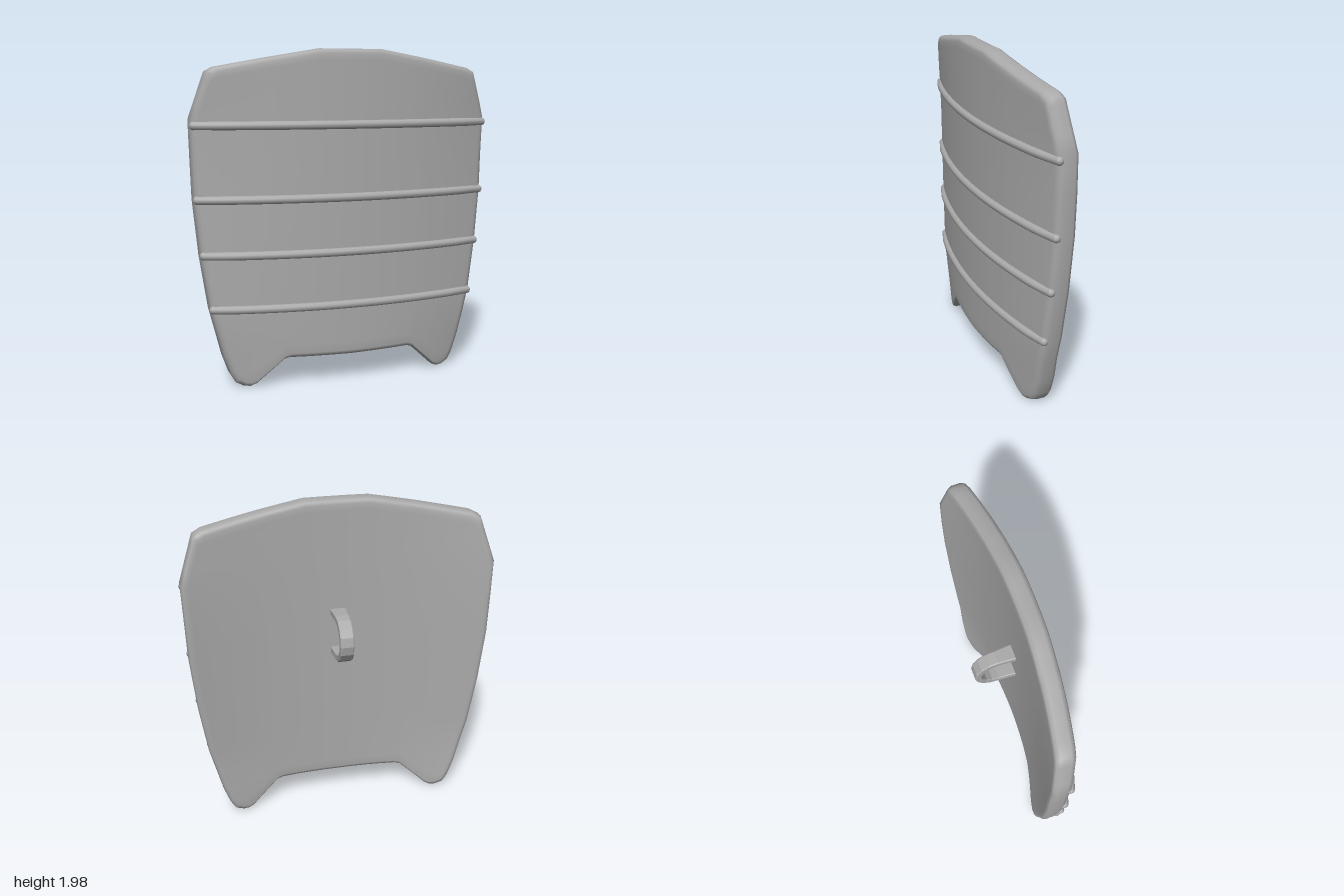
import * as THREE from 'three';

// Piecewise-linear lookup in a short list of [key, value] pairs
function lookup(pairs, k) {
  for (let i = 1; i < pairs.length; i++) {
    const [k0, a] = pairs[i - 1], [k1, b] = pairs[i];
    if (k <= k1) return THREE.MathUtils.lerp(a, b, Math.max(0, (k - k0) / (k1 - k0)));
  }
  return pairs[pairs.length - 1][1];
}

// Outline: half width by height, and top and bottom edges by position across
const WIDTH = [[0, 0.665], [0.04, 0.69], [0.1, 0.725], [0.2, 0.76], [0.5, 0.835], [0.81, 0.88],
  [1.13, 0.91], [1.6, 0.923], [1.88, 0.83], [2, 0.8]];
const TOP = [[0, 2], [0.24, 2], [0.6, 1.95], [0.95, 1.895], [1, 1.87]];
const BOTTOM = [[0, 0.18], [0.5, 0.185], [0.55, 0.175], [0.65, 0.12], [0.75, 0.07],
  [0.84, 0.03], [0.93, 0.008], [1, 0.04]];
const THICK = 0.115;

// Front surface: bowed across, sides pushed forward at the top and back at the feet
function frontZ(x, y) {
  const lean = 0.03 * THREE.MathUtils.clamp((y - 1.5) / 0.4, 0, 1)
    - 0.06 * THREE.MathUtils.clamp((0.4 - y) / 0.4, 0, 1);
  return 0.165 - 0.16 * x * x + lean * x * x;
}

// Point on the slab: u across, v up, inset from the outline, depth behind the front
function slabPoint(u, v, inset, depth) {
  const a = Math.abs(u);
  const y = THREE.MathUtils.lerp(lookup(BOTTOM, a) + inset, lookup(TOP, a) - inset, v);
  const x = u * (lookup(WIDTH, y) - inset);
  return [x, y, frontZ(x, y) - depth];
}

function slabGeometry() {
  const half = [0.12, 0.24, 0.37, 0.5, 0.55, 0.65, 0.75, 0.84, 0.9, 0.95, 0.98, 1];
  const us = [...half.map(u => -u).reverse(), 0, ...half];
  const vs = [0, 0.03, 0.09, 0.17, 0.25, 0.42, 0.6, 0.73, 0.852, 0.9, 0.94, 0.98, 1];
  const nu = us.length, nv = vs.length;
  const pos = [], index = [];
  const quad = (a, b, c, d) => index.push(a, b, c, a, c, d);

  // Front and back faces
  const face = (depth, flip) => {
    const start = pos.length / 3;
    for (const v of vs) for (const u of us) pos.push(...slabPoint(u, v, 0.028, depth));
    for (let j = 0; j < nv - 1; j++) for (let i = 0; i < nu - 1; i++) {
      const a = start + j * nu + i;
      if (flip) quad(a, a + nu, a + nu + 1, a + 1);
      else quad(a, a + 1, a + nu + 1, a + nu);
    }
    return start;
  };
  const front = face(0, false), back = face(THICK, true);

  // Rounded rim between the two faces
  const loop = [];
  for (let i = 0; i < nu - 1; i++) loop.push([i, 0]);
  for (let j = 0; j < nv - 1; j++) loop.push([nu - 1, j]);
  for (let i = nu - 1; i > 0; i--) loop.push([i, nv - 1]);
  for (let j = nv - 1; j > 0; j--) loop.push([0, j]);
  const rings = [loop.map(([i, j]) => front + j * nu + i)];
  for (const [inset, depth] of [[0.01, 0.007], [0, 0.028], [0, THICK - 0.028], [0.01, THICK - 0.007]]) {
    rings.push(loop.map(([i, j]) => {
      pos.push(...slabPoint(us[i], vs[j], inset, depth));
      return pos.length / 3 - 1;
    }));
  }
  rings.push(loop.map(([i, j]) => back + j * nu + i));
  for (let r = 0; r < rings.length - 1; r++) for (let i = 0; i < loop.length; i++) {
    const n = (i + 1) % loop.length;
    quad(rings[r][i], rings[r + 1][i], rings[r + 1][n], rings[r][n]);
  }

  const g = new THREE.BufferGeometry();
  g.setAttribute('position', new THREE.Float32BufferAttribute(pos, 3));
  g.setIndex(index);
  g.computeVertexNormals();
  return g;
}

export function createModel() {
  const group = new THREE.Group();
  const grey = new THREE.MeshStandardMaterial({ color: 0xaaaaaa });
  grey.name = 'grey';
  const add = (name, geometry, parent = group) => {
    const mesh = new THREE.Mesh(geometry, grey);
    mesh.name = name;
    parent.add(mesh);
    return mesh;
  };

  add('shieldBody', slabGeometry());

  // Raised ribs following the bowed front, with rounded ends
  const ribs = new THREE.Group();
  ribs.name = 'ribs';
  group.add(ribs);
  for (const y of [1.565, 1.14, 0.815, 0.495]) {
    const w = lookup(WIDTH, y) - 0.018;
    const points = [];
    for (let i = 0; i <= 12; i++) {
      const x = w * (i / 6 - 1);
      points.push(new THREE.Vector3(x, y, frontZ(x, y) + (Math.abs(x) === w ? -0.008 : 0.001)));
    }
    add('rib', new THREE.TubeGeometry(new THREE.CatmullRomCurve3(points), 32, 0.025, 10), ribs);
    for (const end of [points[0], points[12]]) {
      add('ribEnd', new THREE.SphereGeometry(0.025, 10, 8), ribs).position.copy(end);
    }
  }

  // Strap handle: half ring with straight legs into the back
  const shape = new THREE.Shape();
  const arc = (radius, from, to) => {
    for (let i = 0; i <= 8; i++) {
      const t = THREE.MathUtils.lerp(from, to, i / 8);
      shape.lineTo(-0.055 - radius * Math.sin(t), radius * Math.cos(t));
    }
  };
  shape.moveTo(0.06, 0.14);
  arc(0.14, 0, Math.PI);
  shape.lineTo(0.06, -0.14);
  shape.lineTo(0.06, -0.108);
  arc(0.108, Math.PI, 0);
  shape.lineTo(0.06, 0.108);
  const strap = new THREE.ExtrudeGeometry(shape, {
    depth: 0.07, bevelEnabled: true, bevelThickness: 0.006, bevelSize: 0.004, bevelSegments: 1,
  });
  strap.translate(0, 0, -0.035);
  strap.rotateY(-Math.PI / 2);
  // Strap widens slightly where it meets the back
  const p = strap.attributes.position;
  for (let i = 0; i < p.count; i++) if (p.getZ(i) > 0) p.setX(i, p.getX(i) * 1.2);
  strap.computeVertexNormals();
  add('handle', strap).position.set(0, 1.19, 0);

  return group;
}
